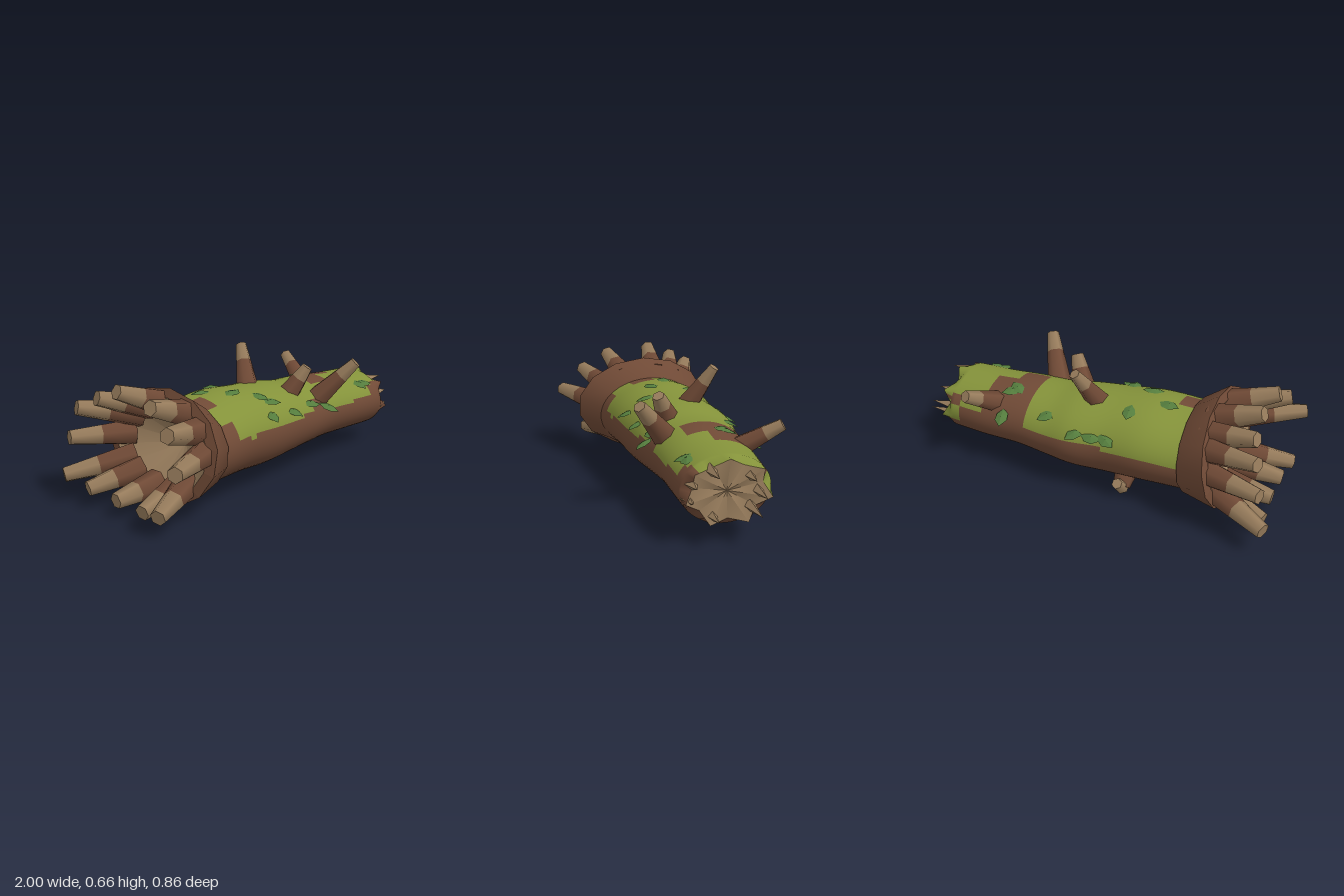
import * as THREE from 'three';

const mat = (name, color, side = THREE.FrontSide) => {
  const m = new THREE.MeshStandardMaterial({ color, side });
  m.name = name;
  return m;
};
const V = (x, y, z) => new THREE.Vector3(x, y, z);

// trunk stations: x, bottom y, top y, back z, front z
const STATIONS = [
  [-0.6, 0.07, 0.49, -0.31, 0.26], [-0.5, 0.073, 0.485, -0.315, 0.255], [-0.3, 0.073, 0.5, -0.33, 0.24],
  [-0.1, 0.063, 0.485, -0.322, 0.22], [0.08, 0.07, 0.47, -0.338, 0.203], [0.22, 0.082, 0.445, -0.318, 0.187],
  [0.4, 0.094, 0.44, -0.295, 0.176], [0.6, 0.092, 0.422, -0.283, 0.175], [0.75, 0.09, 0.415, -0.265, 0.175],
  [0.87, 0.09, 0.41, -0.25, 0.17],
];

// trunk section at x, a smooth curve through the stations
function section(x) {
  const last = STATIONS.length - 1;
  let i = 0;
  while (i < last - 1 && x > STATIONS[i + 1][0]) i++;
  const a = STATIONS[i], b = STATIONS[i + 1];
  const p = STATIONS[Math.max(i - 1, 0)], q = STATIONS[Math.min(i + 2, last)];
  const t = THREE.MathUtils.clamp((x - a[0]) / (b[0] - a[0]), 0, 1);
  const [, y0, y1, z0, z1] = a.map((v, k) => {
    const m0 = ((b[k] - p[k]) / (b[0] - p[0])) * (b[0] - a[0]);
    const m1 = ((q[k] - v) / (q[0] - a[0])) * (b[0] - a[0]);
    const d = b[k] - v;
    return v + t * (m0 + t * (3 * d - 2 * m0 - m1 + t * (m0 + m1 - 2 * d)));
  });
  return { cy: (y0 + y1) / 2, ry: (y1 - y0) / 2, cz: (z0 + z1) / 2, rz: (z1 - z0) / 2 };
}

// closed loft: point(i, a) gives the ring points, pick(centre) the material slot
function loft(rings, sides, point, pick = () => 0) {
  const pos = [], lists = [[], []];
  for (let i = 0; i < rings; i++)
    for (let j = 0; j < sides; j++) pos.push(...point(i, Math.PI / 2 + (j / sides) * Math.PI * 2).toArray());
  const at = (k) => V(pos[k * 3], pos[k * 3 + 1], pos[k * 3 + 2]);
  for (let i = 0; i < rings - 1; i++)
    for (let j = 0; j < sides; j++) {
      const n = (j + 1) % sides;
      const a = i * sides + j, b = a + sides, c = (i + 1) * sides + n, d = i * sides + n;
      lists[pick(at(a).add(at(c)).multiplyScalar(0.5))].push(a, b, c, a, c, d);
    }
  const g = new THREE.BufferGeometry();
  g.setAttribute('position', new THREE.Float32BufferAttribute(pos, 3));
  g.setIndex([...lists[0], ...lists[1]]);
  g.addGroup(0, lists[0].length, 0);
  g.addGroup(lists[0].length, lists[1].length, 1);
  g.computeVertexNormals();
  return g;
}

const flat = (g) => {
  const f = g.toNonIndexed();
  f.computeVertexNormals();
  return f;
};

// blocky moss patches over the upper half
function isMoss({ x, y, z }) {
  if (x < -0.51) return 0;
  if (x > 0.34 && x < 0.47 && z < 0.05) return 0;
  if (z < -0.05) {
    if (x > 0.74 && z < -0.21 && y > 0.31) return 0;
    if (x >= 0.47 && x < 0.6 && z < -0.06) return 0;
    return y > (x > 0.74 ? 0.22 : 0.31) ? 1 : 0;
  }
  if (x < -0.41) return y > 0.41 && !(z > -0.03 && z < 0.1) ? 1 : 0;
  const limit = x < 0.22 ? 0.322 : x < 0.33 ? 0.38 : x < 0.71 ? 0.305 : 0.36;
  return y > limit ? 1 : 0;
}

// broken rim: straight edges between seven long tips and seven notches
function endPoint(a) {
  const corner = (k) => {
    const tip = k % 2 === 0, x = tip ? 0.862 : 0.825, r = tip ? 1 : 0.8;
    const s = section(x), b = Math.PI / 2 + (k * Math.PI) / 7;
    return V(x, s.cy + s.ry * r * Math.sin(b), s.cz + s.rz * r * Math.cos(b));
  };
  const f = ((a - Math.PI / 2) * 7) / Math.PI + 1e-6, k = Math.floor(f);
  return corner(k).lerp(corner(k + 1), f - k);
}

export function createModel() {
  const root = new THREE.Group();
  root.name = 'fallenLog';
  const bark = mat('bark', 0x704a36);
  const wood = mat('wood', 0x977c5c);
  const moss = mat('moss', 0x84923a);
  const leafGreen = mat('leafGreen', 0x547c3d, THREE.DoubleSide);
  const add = (name, geo, m, parent = root) => {
    const mesh = new THREE.Mesh(geo, m);
    mesh.name = name;
    parent.add(mesh);
    return mesh;
  };

  // trunk and the broken wood face closing it
  const STEPS = 70;
  const trunkPoint = (i, a) => {
    if (i === STEPS) return endPoint(a);
    const x = -0.6 + (1.4 * i) / (STEPS - 1), s = section(x);
    return V(x, s.cy + s.ry * Math.sin(a), s.cz + s.rz * Math.cos(a));
  };
  add('trunk', loft(STEPS + 1, 56, trunkPoint, isMoss), [bark, moss]);
  add('brokenEnd', loft(2, 14, (i, a) => (i ? V(0.83, 0.255, -0.035) : endPoint(a))), wood);

  // flared root collar on a tilted rim: radius scale and x offset of each ring
  const rim = (a, k, dx) => {
    const y = 0.305 + 0.275 * k * Math.sin(a);
    return V(-0.68 + 0.22 * (y - 0.305) + dx, y, -0.022 + 0.378 * k * Math.cos(a));
  };
  const collarPoint = (i, a) => {
    if (i === 0) return rim(a, 1, 0);
    const s = section(-0.51), grow = i === 1 ? 0.014 : -0.03;
    return V(-0.52 + 0.02 * Math.sin(a), s.cy + (s.ry + grow) * Math.sin(a), s.cz + (s.rz + grow) * Math.cos(a));
  };
  add('rootCollar', loft(3, 14, collarPoint), bark);
  add('collarLip', flat(loft(2, 14, (i, a) => (i ? rim(a, 1, 0) : rim(a, 0.84, -0.01)))), bark);
  add('collarHollow', loft(2, 14, (i, a) => (i ? rim(a, 0.84, -0.01) : V(-0.52, 0.29, -0.03))), wood);

  // tapered length of wood between two points
  function taper(name, from, to, r0, r1, m) {
    const len = from.distanceTo(to);
    const mesh = add(name, new THREE.CylinderGeometry(r1, r0, len, 6).translate(0, len / 2, 0), m);
    mesh.position.copy(from);
    mesh.quaternion.setFromUnitVectors(V(0, 1, 0), to.clone().sub(from).normalize());
  }

  // stub with bark below and bare wood at the tip
  function stub(name, from, to, r0, r1, split) {
    const mid = from.clone().lerp(to, split), rm = r0 + (r1 - r0) * split;
    taper(name + 'Bark', from, mid, r0, rm, bark);
    taper(name + 'Tip', mid, to, rm, r1, wood);
  }

  // roots fanning out of the collar
  const rootTips = [
    [-0.97, 0.345, 0.4], [-0.91, 0.48, 0.285], [-0.88, 0.57, 0.14], [-0.87, 0.595, -0.11], [-0.88, 0.54, -0.25],
    [-0.92, 0.48, -0.36], [-0.95, 0.33, -0.39], [-0.985, 0.145, -0.4], [-0.95, 0.1, -0.26],
    [-0.94, 0.09, -0.06], [-0.94, 0.085, 0.13], [-0.96, 0.105, 0.265],
  ];
  rootTips.forEach(([x, y, z]) => {
    const a = Math.atan2((y - 0.32) / 0.275, (z + 0.022) / 0.378);
    stub('root', rim(a, 0.69, 0.035), V(x, y, z), 0.07, 0.039, 0.52);
  });

  // branch stubs
  [
    [[-0.02, 0.42, -0.09], [0.065, 0.65, -0.225], 0.065, 0.028],
    [[0.13, 0.38, 0.03], [0.215, 0.555, 0.115], 0.068, 0.032],
    [[0.31, 0.35, 0.09], [0.435, 0.565, 0.265], 0.066, 0.032],
    [[0.52, 0.34, -0.17], [0.605, 0.475, -0.39], 0.06, 0.032],
  ].forEach(([p, q, r0, r1]) => stub('branch', V(...p), V(...q), r0, r1, 0.65));

  // hooked branch underneath
  taper('hookBark', V(-0.19, 0.14, -0.12), V(-0.19, 0.035, -0.215), 0.075, 0.044, bark);
  taper('hookTip', V(-0.19, 0.028, -0.21), V(-0.19, 0.095, -0.28), 0.038, 0.028, wood);

  // splinters on the broken end: y, z, tip x
  [
    [0.355, 0.04, 0.955], [0.295, 0.125, 0.9], [0.225, 0.14, 0.89], [0.145, 0.035, 0.935],
    [0.175, -0.145, 1], [0.245, -0.18, 0.96], [0.32, -0.14, 0.93],
  ].forEach(([y, z, x]) => {
    const len = x - 0.8;
    const geo = new THREE.ConeGeometry(0.034, len, 4).rotateZ(-Math.PI / 2).translate(0.8 + len / 2, y, z);
    add('splinter', flat(geo), wood);
  });

  // folded pointed leaf lying along z
  const outline = [[0, 0.06], [0.03, 0.025], [0.033, -0.015], [0, -0.055], [-0.033, -0.015], [-0.03, 0.025]];
  const leafPos = [];
  outline.forEach(([x, z], i) => {
    const [nx, nz] = outline[(i + 1) % 6];
    leafPos.push(0, 0.012, 0, x, 0, z, nx, 0, nz);
  });
  const leafGeo = new THREE.BufferGeometry();
  leafGeo.setAttribute('position', new THREE.Float32BufferAttribute(leafPos, 3));
  leafGeo.computeVertexNormals();

  // leaves scattered over the moss: x, z, heading
  [
    [-0.14, -0.31, 1], [-0.06, -0.31, 1.5], [0.03, -0.31, 2.5], [0.21, -0.255, 2.4], [0.455, -0.3, 0.2],
    [0.46, -0.16, 2.2], [0.44, -0.14, 0.9], [-0.21, -0.18, 0.1], [-0.38, -0.075, 1.4], [-0.26, 0.03, 1.8],
    [-0.13, 0.09, 0.2], [-0.09, 0.13, 1], [-0.14, 0.19, -0.2], [0.03, 0.18, 0.4], [0.2, 0.15, 1.1],
    [0.285, 0.205, 0.5], [0.665, 0.11, 0], [0.7, 0.11, 1.2],
  ].forEach(([x, z, turn]) => {
    const s = section(x), u = THREE.MathUtils.clamp((z - s.cz) / s.rz, -0.92, 0.92);
    const leaf = add('leaf', leafGeo, leafGreen);
    leaf.position.set(x, s.cy + s.ry * Math.sqrt(1 - u * u) + 0.003, z);
    leaf.rotation.set(u * 0.45, turn, 0, 'XYZ');
  });

  return root;
}
